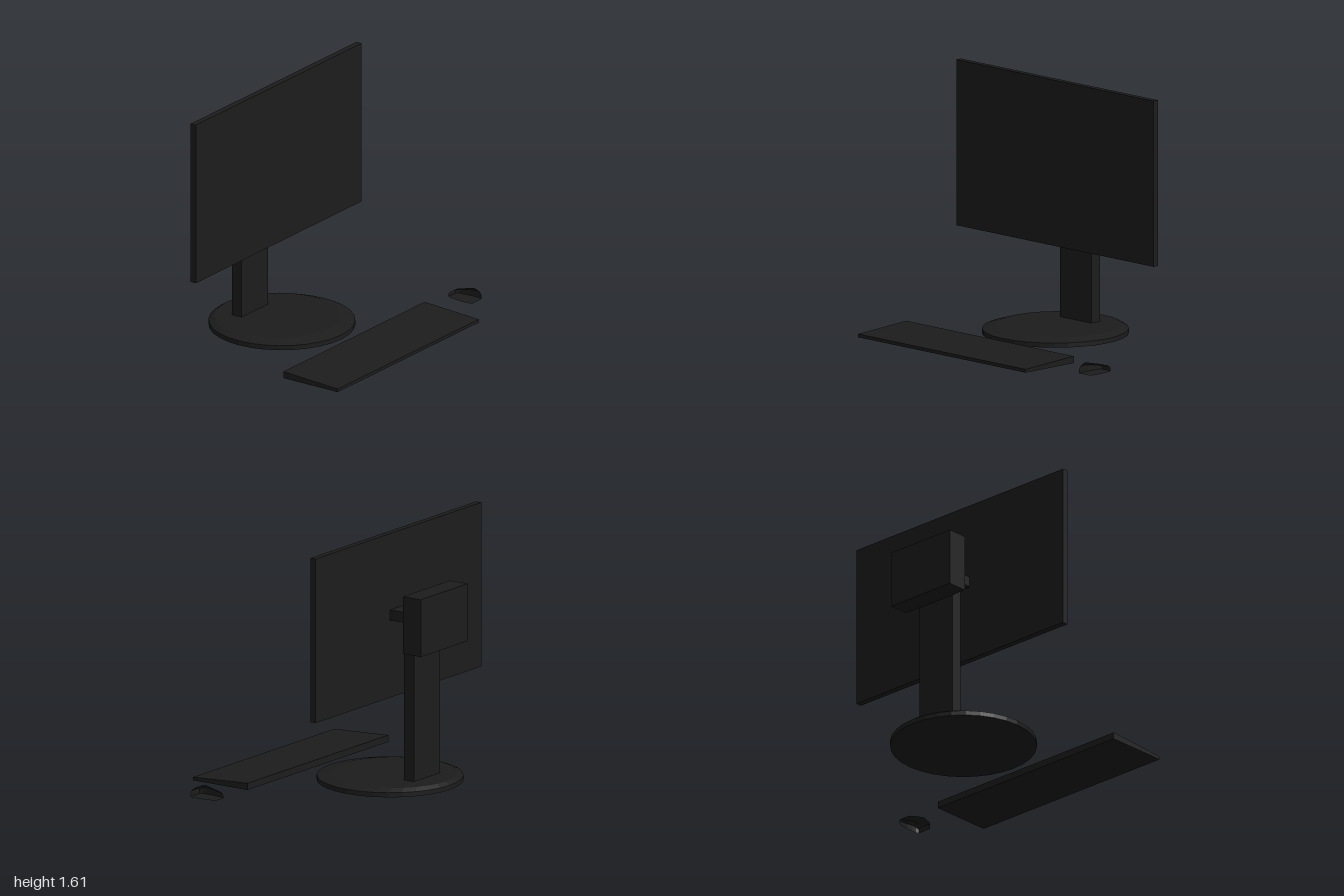
import * as THREE from 'three';

const material = new THREE.MeshStandardMaterial({ color: 0x1c1c1c, flatShading: true });

// Box given by its extents on each axis
function box(name, [x0, x1], [y0, y1], [z0, z1]) {
  const mesh = new THREE.Mesh(new THREE.BoxGeometry(x1 - x0, y1 - y0, z1 - z0), material);
  mesh.position.set((x0 + x1) / 2, (y0 + y1) / 2, (z0 + z1) / 2);
  mesh.name = name;
  return mesh;
}

// Closed skin over equal-length cross-sections, capped at both ends
function loft(name, sections) {
  const n = sections[0].length;
  const index = [];
  for (let s = 0; s < sections.length - 1; s++) {
    for (let i = 0; i < n; i++) {
      const a = s * n + i, b = s * n + (i + 1) % n;
      index.push(a, b, b + n, a, b + n, a + n);
    }
  }
  const last = (sections.length - 1) * n;
  for (let i = 1; i < n - 1; i++) index.push(0, i + 1, i, last, last + i, last + i + 1);
  const geometry = new THREE.BufferGeometry();
  geometry.setAttribute('position', new THREE.Float32BufferAttribute(sections.flat(2), 3));
  geometry.setIndex(index);
  const flat = geometry.toNonIndexed();
  flat.computeVertexNormals();
  const mesh = new THREE.Mesh(flat, material);
  mesh.name = name;
  return mesh;
}

// Horizontal ring of points, counter-clockwise seen from above
function ring(cx, y, cz, r, sides = 32) {
  return Array.from({ length: sides }, (_, i) => {
    const a = (i / sides) * Math.PI * 2;
    return [cx + r * Math.cos(a), y, cz - r * Math.sin(a)];
  });
}

export function createModel() {
  const model = new THREE.Group();
  model.name = 'desktopSet';

  // Monitor, facing +x
  const monitor = new THREE.Group();
  monitor.name = 'monitor';
  monitor.add(
    box('screen', [-0.315, -0.275], [0.55, 1.61], [-0.77, 1]),
    box('arm', [-0.46, -0.315], [1.05, 1.117], [0.025, 0.2]),
    box('post', [-0.535, -0.46], [0.04, 1.165], [-0.025, 0.257]),
    box('rearHousing', [-0.672, -0.535], [0.9, 1.27], [-0.14, 0.363])
  );

  // Round foot whose top face is smaller and shifted back
  monitor.add(loft('base', [
    ring(-0.263, 0, 0.098, 0.46),
    ring(-0.263, 0.03, 0.098, 0.46),
    ring(-0.297, 0.05, 0.098, 0.396),
  ]));
  model.add(monitor);

  // Wedge-shaped keyboard
  const profile = new THREE.Shape([[0.3, 0], [0.72, 0], [0.72, 0.021], [0.3, 0.044]]
    .map(([x, y]) => new THREE.Vector2(x, y)));
  const keyboard = new THREE.Mesh(
    new THREE.ExtrudeGeometry(profile, { depth: 1.506, bevelEnabled: false }), material);
  keyboard.position.z = -0.647;
  keyboard.name = 'keyboard';
  model.add(keyboard);

  // Mouse: x, half width, side height, top half width, top height
  const mouseSections = [
    [0.3, 0.036, 0.018, 0.026, 0.026],
    [0.32, 0.05, 0.026, 0.036, 0.036],
    [0.4, 0.06, 0.038, 0.042, 0.054],
    [0.445, 0.06, 0.042, 0.042, 0.064],
    [0.475, 0.058, 0.038, 0.04, 0.054],
    [0.492, 0.048, 0.025, 0.034, 0.036],
  ].map(([x, w, h, tw, th]) => [
    [w, 0], [-w, 0], [-w, h], [-tw, th], [tw, th], [w, h],
  ].map(([z, y]) => [x, y, z - 0.94]).reverse());
  model.add(loft('mouse', mouseSections));

  return model;
}
